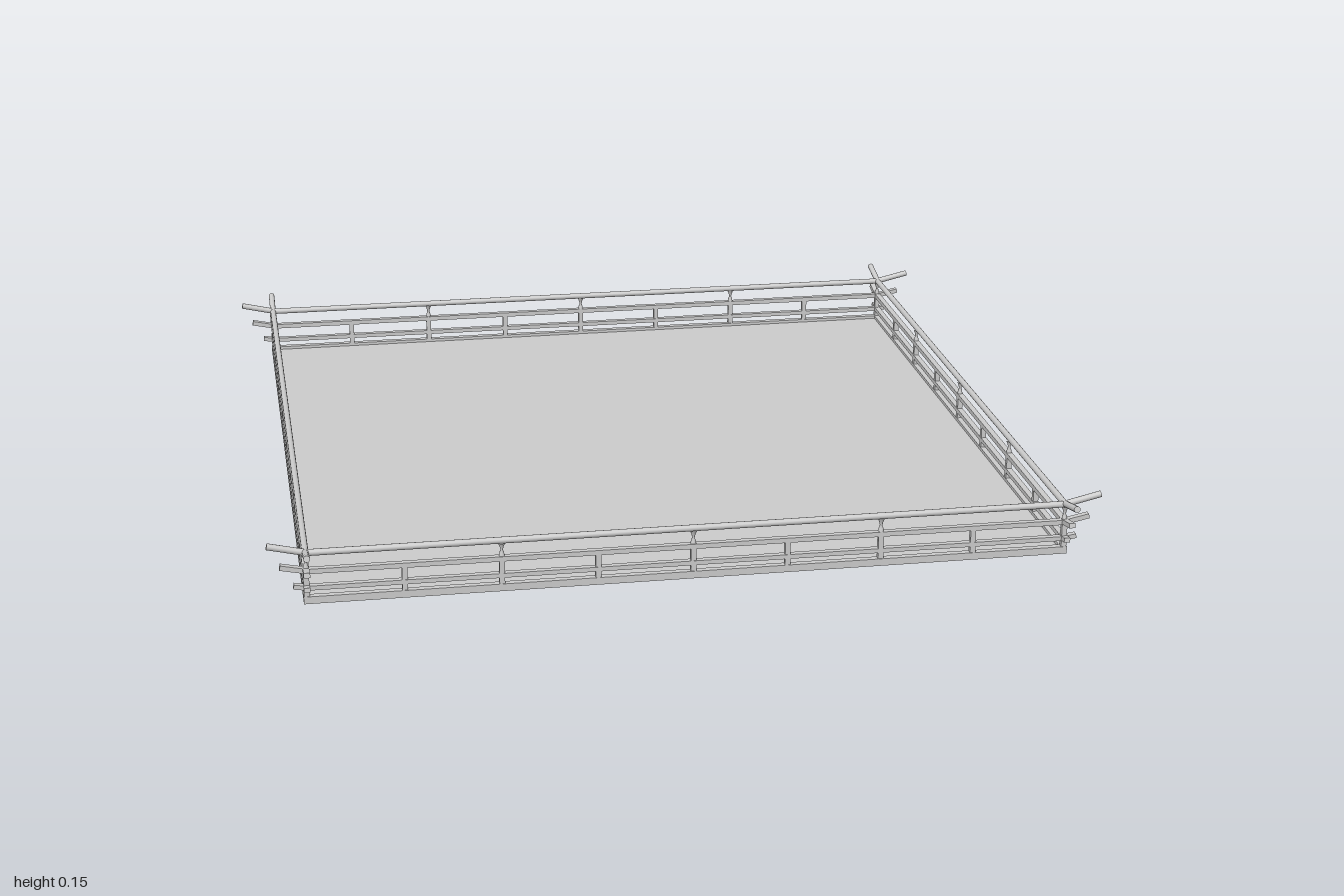
import * as THREE from 'three';

const material = new THREE.MeshStandardMaterial({ color: 0xcccccc });
const EDGE = 0.91;      // distance from the centre to each rail line
const STEP = EDGE / 4;  // post spacing

function add(parent, name, geometry, x = 0, y = 0, z = 0) {
  const mesh = new THREE.Mesh(geometry, material);
  mesh.name = name;
  mesh.position.set(x, y, z);
  parent.add(mesh);
  return mesh;
}

// Straight beam in the xy plane between two points, square or round
function beam(parent, name, a, b, height, width, round) {
  const length = Math.hypot(b[0] - a[0], b[1] - a[1]);
  const geometry = round
    ? new THREE.CylinderGeometry(height / 2, height / 2, length, 12).rotateZ(-Math.PI / 2)
    : new THREE.BoxGeometry(length, height, width);
  const mesh = add(parent, name, geometry, (a[0] + b[0]) / 2, (a[1] + b[1]) / 2);
  mesh.rotation.z = Math.atan2(b[1] - a[1], b[0] - a[0]);
}

// Long rail with an upturned tip beyond each corner
function rail(parent, name, y, tipX, tipY, height, width, round) {
  beam(parent, name, [-EDGE, y], [EDGE, y], height, width, round);
  beam(parent, name + 'TipLeft', [EDGE - 0.003, y], [tipX, tipY], height, width, round);
  beam(parent, name + 'TipRight', [-tipX, tipY], [-EDGE + 0.003, y], height, width, round);
}

// One side of the balustrade, lying along x
function createSide() {
  const side = new THREE.Group();
  side.name = 'railingSide';

  add(side, 'curb', new THREE.BoxGeometry(2 * EDGE + 0.016, 0.018, 0.016), 0, 0.009, 0);
  rail(side, 'lowerRail', 0.039, 0.94, 0.044, 0.011, 0.015, false);
  rail(side, 'middleRail', 0.081, 0.97, 0.094, 0.012, 0.015, false);
  rail(side, 'topRail', 0.126, 0.998, 0.147, 0.016, 0.016, true);

  // Posts up to the middle rail; every second one carries a waisted strut
  const strut = new THREE.LatheGeometry([
    [0.007, 0], [0.006, 0.008], [0.003, 0.016], [0.005, 0.025], [0.009, 0.034],
  ].map(([r, y]) => new THREE.Vector2(r, y)), 10);
  const post = new THREE.BoxGeometry(0.013, 0.06, 0.013);
  for (let i = -4; i < 4; i++) {
    add(side, 'post', post, i * STEP, 0.047, 0);
    if (i % 2 === 0) add(side, 'strut', strut, i * STEP, 0.086, 0);
  }
  return side;
}

export function createModel() {
  const model = new THREE.Group();
  model.name = 'railedPlatform';

  add(model, 'floor', new THREE.BoxGeometry(2 * EDGE, 0.01, 2 * EDGE), 0, 0.005, 0);

  // Four equal sides, turned about the centre
  for (let k = 0; k < 4; k++) {
    const turn = new THREE.Group();
    turn.name = 'railing' + ['Front', 'Left', 'Back', 'Right'][k];
    const side = createSide();
    side.position.z = EDGE;
    turn.add(side);
    turn.rotation.y = k * Math.PI / 2;
    model.add(turn);
  }
  return model;
}
